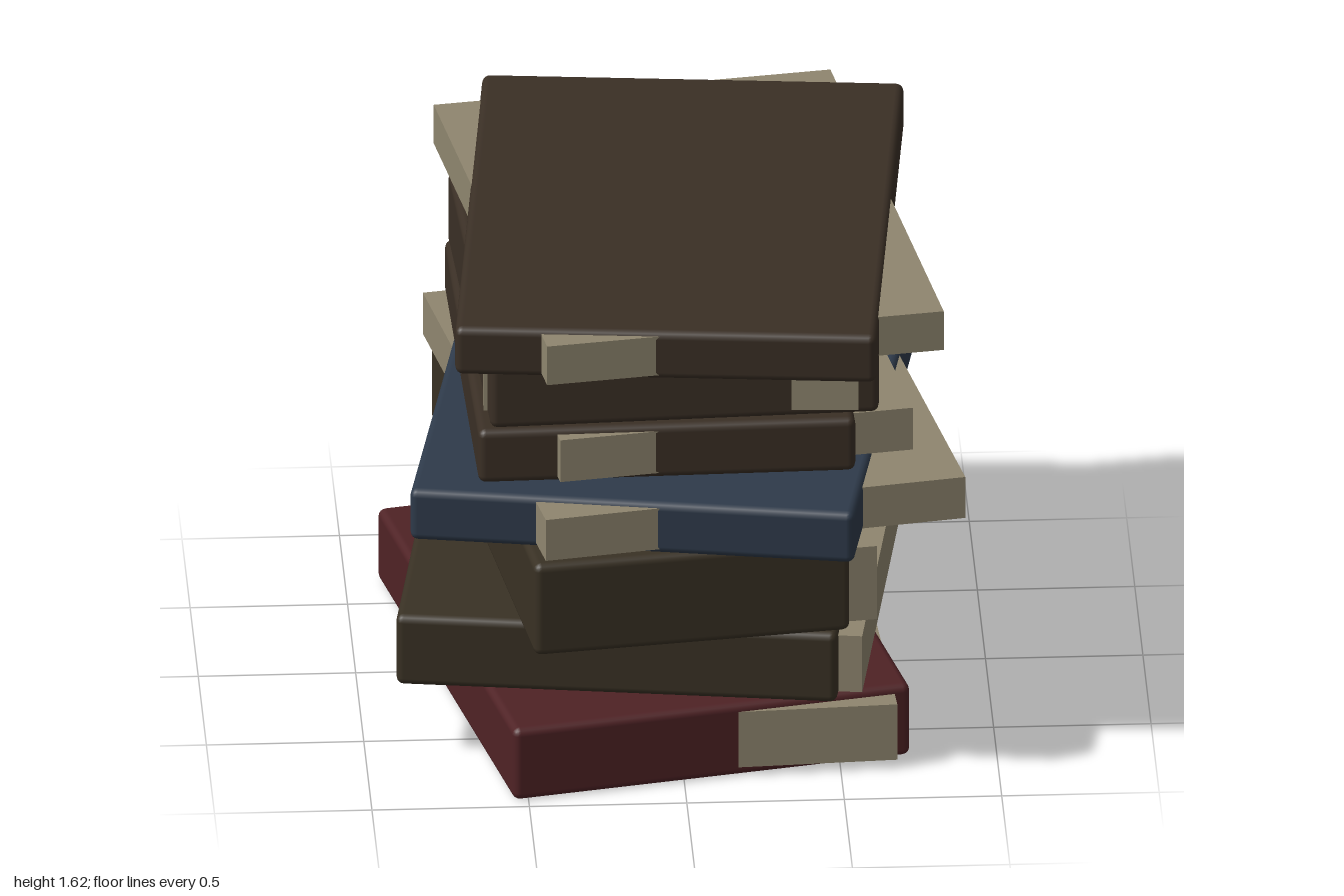
import * as THREE from 'three';
import { RoundedBoxGeometry } from 'three/addons/geometries/RoundedBoxGeometry.js';

const material = (name, color) => {
  const m = new THREE.MeshStandardMaterial({ color });
  m.name = name;
  return m;
};

// A block given by its vertical span, footprint, centre and turn about y
function block(name, mat, [y0, y1], [w, d, x, z, turn], radius = 0) {
  const h = y1 - y0;
  const geometry = radius
    ? new RoundedBoxGeometry(w, h, d, 2, radius)
    : new THREE.BoxGeometry(w, h, d);
  const mesh = new THREE.Mesh(geometry, mat);
  mesh.name = name;
  mesh.position.set(x, (y0 + y1) / 2, z);
  mesh.rotation.y = turn;
  return mesh;
}

export function createModel() {
  const red = material('red cover', 0x4f2225);
  const olive = material('dark olive cover', 0x393124);
  const blue = material('blue cover', 0x2e3a4a);
  const brown = material('brown cover', 0x3a2f25);
  const paper = material('paper', 0x8f866f);

  // Books from bottom to top; cover and pages: [width, depth, x, z, turn]
  const books = [
    { mat: red, y: [0, 0.25], pageY: [0.03, 0.225],
      cover: [1.303, 1.69, -0.085, 0.003, 0.209], pages: [1.25, 1.635, 0.007, 0.003, 0.06] },
    { mat: olive, y: [0.253, 0.497], pageY: [0.277, 0.474],
      cover: [1.406, 1.46, -0.103, 0.003, -0.147], pages: [1.35, 1.39, 0, 0.01, -0.145] },
    { mat: olive, y: [0.5, 0.82], pageY: [0.53, 0.787],
      cover: [1.02, 1.77, -0.095, 0.003, 0.136], pages: [0.966, 1.705, 0.02, 0.008, 0.136] },
    { mat: blue, y: [0.823, 1.0], pageY: [0.84, 0.984],
      cover: [1.42, 1.77, -0.015, -0.001, -0.174], pages: [1.367, 1.7, 0.075, -0.008, 0.18] },
    { mat: brown, y: [1.005, 1.19], pageY: [1.024, 1.171],
      cover: [1.2, 1.42, -0.065, 0, 0.025], pages: [1.144, 1.352, 0.069, 0.002, 0.158] },
    { mat: brown, y: [1.193, 1.452], pageY: [1.218, 1.426],
      cover: [1.24, 1.38, -0.022, 0, 0.047], pages: [1.19, 1.31, -0.002, 0.001, -0.047] },
    { mat: brown, y: [1.456, 1.622], pageY: [1.472, 1.608],
      cover: [1.338, 1.867, 0.028, -0.002, -0.0985], pages: [1.284, 1.796, 0.058, -0.007, 0.15] },
  ];

  const stack = new THREE.Group();
  stack.name = 'bookStack';
  for (const b of books) {
    const book = new THREE.Group();
    book.name = 'book';
    book.add(
      block('bookCover', b.mat, b.y, b.cover, 0.025),
      block('pageBlock', paper, b.pageY, b.pages),
    );
    stack.add(book);
  }
  return stack;
}
